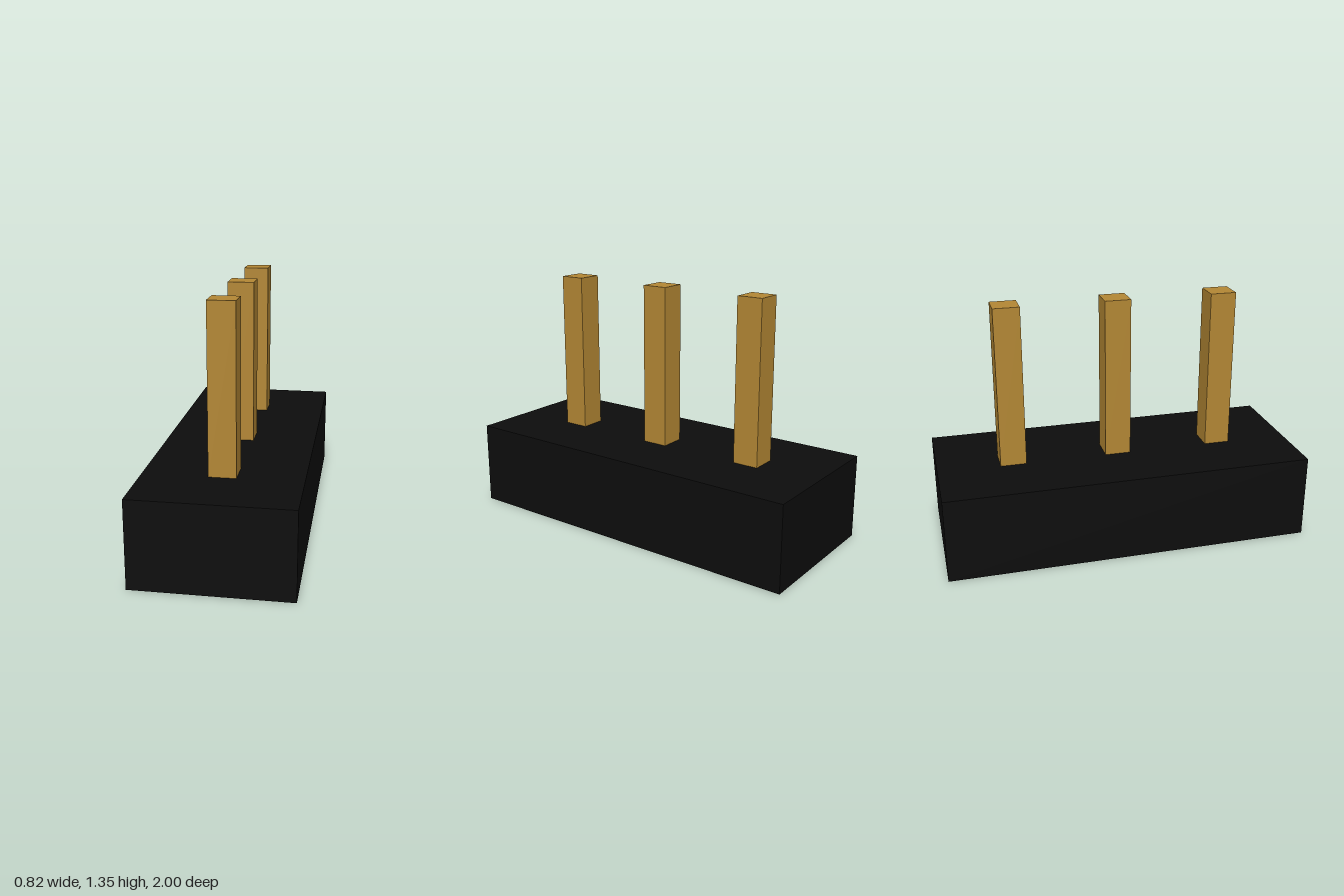
import * as THREE from 'three';

const BASE = { width: 0.82, height: 0.465, depth: 2 };
const PIN = { size: 0.142, top: 1.347, spacing: 0.588 };

export function createModel() {
  const model = new THREE.Group();
  model.name = 'pinHeader';

  const blackPlastic = new THREE.MeshStandardMaterial({ color: 0x0d0d0d });
  blackPlastic.name = 'blackPlastic';
  const goldMetal = new THREE.MeshStandardMaterial({ color: 0xb38734 });
  goldMetal.name = 'goldMetal';

  // Housing block
  const housing = new THREE.Mesh(
    new THREE.BoxGeometry(BASE.width, BASE.height, BASE.depth), blackPlastic);
  housing.name = 'housing';
  housing.position.y = BASE.height / 2;
  model.add(housing);

  // Three square pins standing on the housing
  const pinHeight = PIN.top - BASE.height;
  const pinGeometry = new THREE.BoxGeometry(PIN.size, pinHeight, PIN.size);
  ['backPin', 'middlePin', 'frontPin'].forEach((name, i) => {
    const pin = new THREE.Mesh(pinGeometry, goldMetal);
    pin.name = name;
    pin.position.set(0, BASE.height + pinHeight / 2, (i - 1) * PIN.spacing);
    model.add(pin);
  });

  return model;
}
